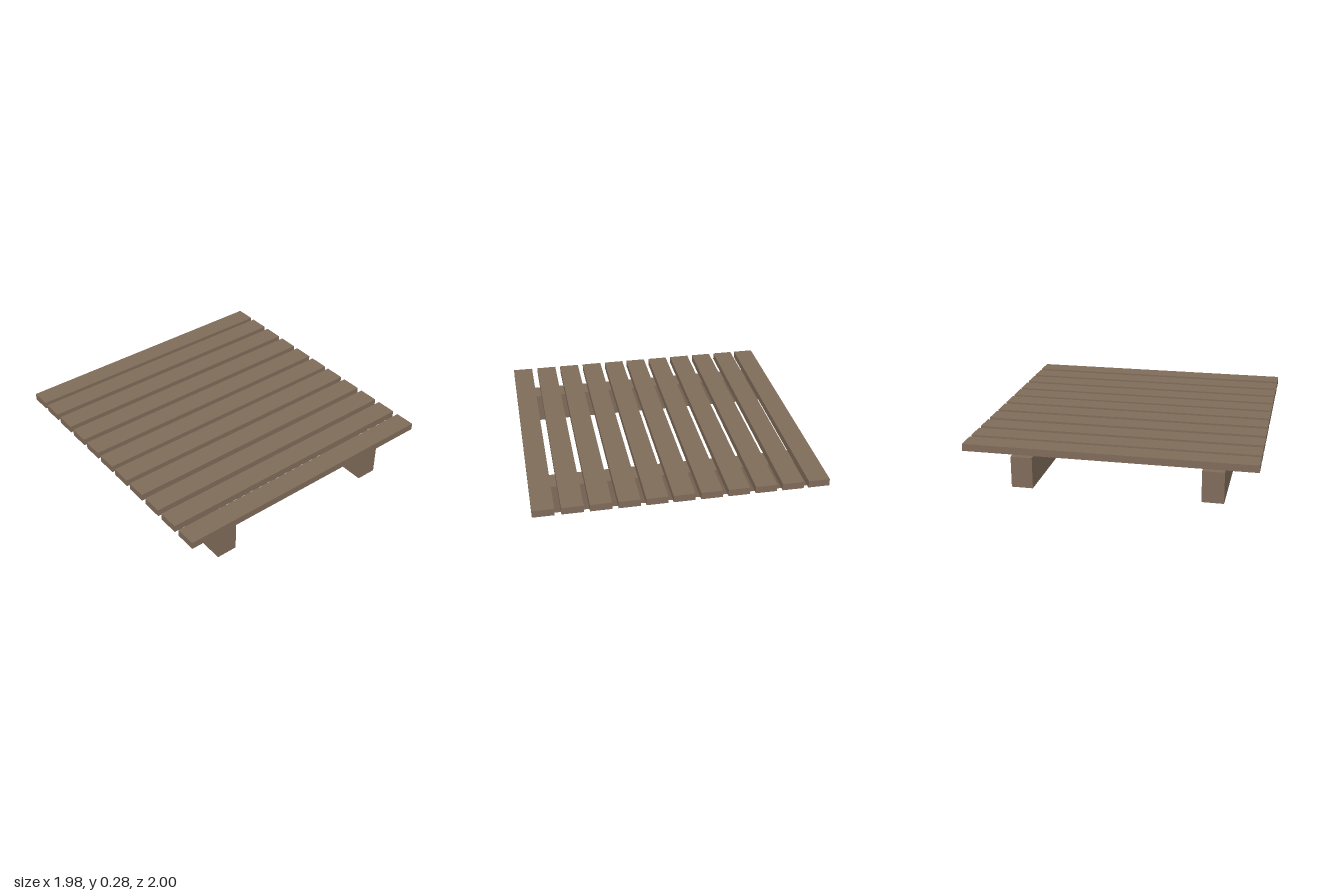
import * as THREE from 'three';

export function createModel() {
  const model = new THREE.Group();
  model.name = 'slattedPlatform';
  const wood = new THREE.MeshStandardMaterial({ color: 0x806c5a });
  wood.name = 'weathered wood';

  const board = (name, size, position) => {
    const mesh = new THREE.Mesh(new THREE.BoxGeometry(...size), wood);
    mesh.name = name;
    mesh.position.set(...position);
    model.add(mesh);
  };

  // Two long bearers resting on the ground
  board('rightBearer', [0.146, 0.215, 1.982], [-0.698, 0.1075, -0.009]);
  board('leftBearer', [0.146, 0.215, 1.982], [0.575, 0.1075, -0.009]);

  // Deck slats, laid by hand with slightly uneven gaps, just above the bearers
  const slatZ = [0.927, 0.738, 0.553, 0.367, 0.184, 0.003, -0.181, -0.366, -0.552, -0.737, -0.916];
  slatZ.forEach((z, i) => board(`slat${i + 1}`, [1.976, 0.05, 0.146], [0, 0.251, z]));

  return model;
}
